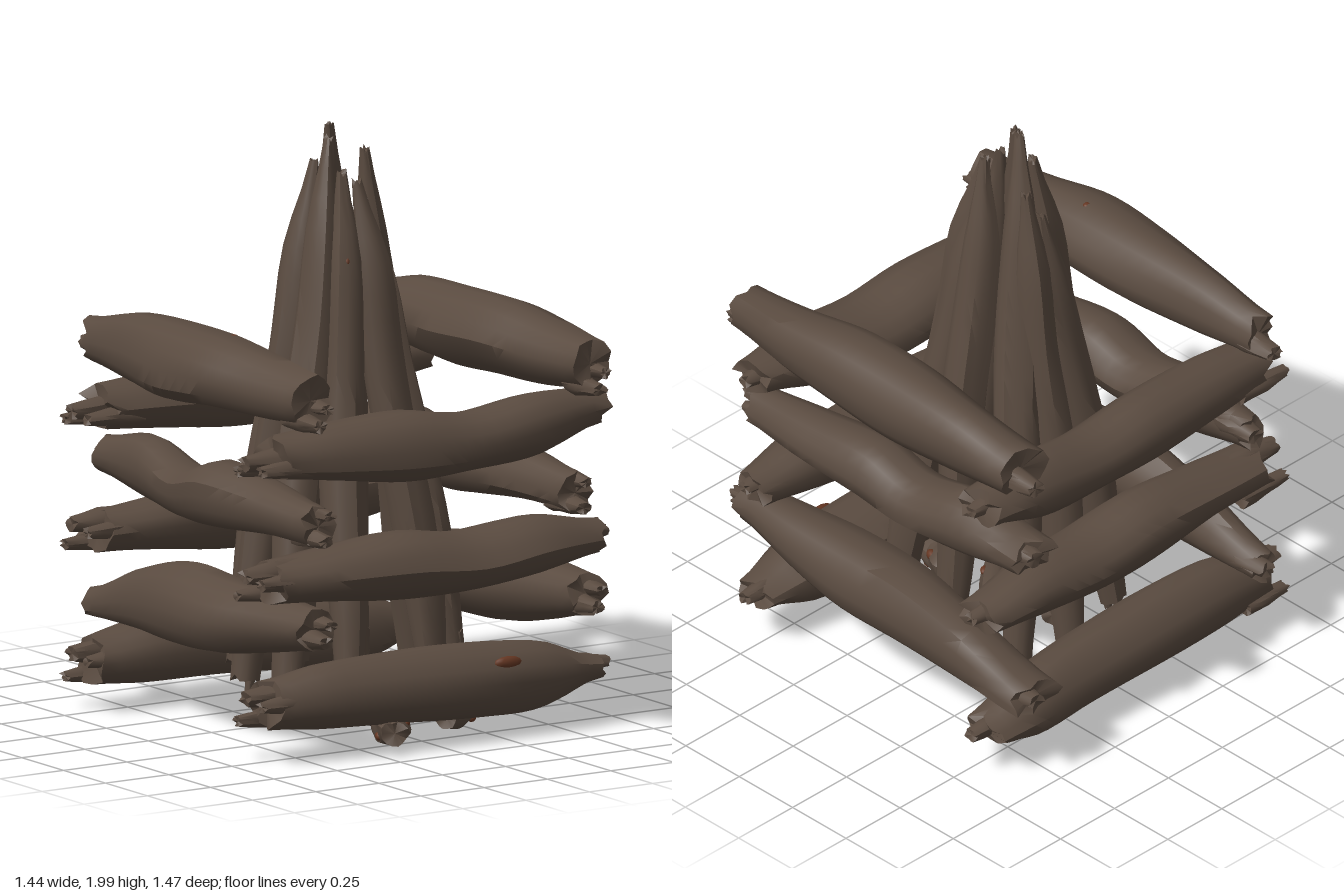
import * as THREE from 'three';
import { toCreasedNormals } from 'three/addons/utils/BufferGeometryUtils.js';

const charred = new THREE.MeshStandardMaterial({ color: 0x5a4b40 });
charred.name = 'charred bark';
const ember = new THREE.MeshStandardMaterial({ color: 0x653723 });
ember.name = 'ember';

const SIDES = 14;

function randomFrom(seed) {
  let s = (seed * 7919 + 17) % 233280;
  return () => (s = (s * 9301 + 49297) % 233280) / 233280;
}

// Lofts rough bark through sections [s, centreA, centreB, radiusA, radiusB].
function barkLoft(sections, place, flip, seed, steps = 18, jag = 0.02, rough = 0.06) {
  const rand = randomFrom(seed);
  const p1 = rand() * 6, p2 = rand() * 6, p3 = rand() * 6;
  const last = sections.length - 1;
  const at = (t, k) => {
    const i = Math.min(last - 1, Math.floor(t * last)), f = t * last - i;
    const v = n => sections[Math.max(0, Math.min(last, n))][k];
    const a = v(i), b = v(i + 1);
    if (k === 0) return a + (b - a) * f;
    const m0 = (b - v(i - 1)) / 2, m1 = (v(i + 2) - a) / 2, f2 = f * f, f3 = f2 * f;
    return (2 * f3 - 3 * f2 + 1) * a + (f3 - 2 * f2 + f) * m0 + (3 * f2 - 2 * f3) * b + (f3 - f2) * m1;
  };
  const pos = [], index = [];
  for (let i = 0; i <= steps; i++) {
    const t = i / steps, end = i === 0 ? -1 : i === steps ? 1 : 0;
    for (let j = 0; j < SIDES; j++) {
      const q = j / SIDES * Math.PI * 2;
      const n = 1 + rough * (Math.sin(3 * q + p1 + 2 * t) * 0.6 + Math.sin(5 * q + p2 - 3 * t) * 0.5
        + Math.sin(9 * t + p3 + 2 * q) * 0.5);
      const s = at(t, 0) + end * jag * (rand() - 0.5) * 2;
      pos.push(...place(s, at(t, 1) + Math.cos(q) * at(t, 3) * n, at(t, 2) + Math.sin(q) * at(t, 4) * n));
    }
  }
  const tri = (a, b, c) => (flip ? index.push(a, c, b) : index.push(a, b, c));
  for (let i = 0; i < steps; i++) for (let j = 0; j < SIDES; j++) {
    const k = (j + 1) % SIDES, a = i * SIDES + j, b = i * SIDES + k;
    tri(a, b, a + SIDES);
    tri(b, b + SIDES, a + SIDES);
  }
  // broken ends
  for (const [ring, t, dir] of [[0, 0, 1], [steps, 1, -1]]) {
    const c = pos.length / 3;
    pos.push(...place(at(t, 0) + dir * jag * 0.3, at(t, 1), at(t, 2)));
    for (let j = 0; j < SIDES; j++) {
      const a = ring * SIDES + j, b = ring * SIDES + (j + 1) % SIDES;
      if (dir > 0) tri(c, b, a); else tri(c, a, b);
    }
  }
  const g = new THREE.BufferGeometry();
  g.setAttribute('position', new THREE.Float32BufferAttribute(pos, 3));
  g.setIndex(index);
  return toCreasedNormals(g, 0.75);
}

const alongX = (s, a, b) => [s, b, a];
const alongZ = (s, a, b) => [a, b, s];
const alongY = (s, a, b) => [b, s, a];

// Stacked log: rows of [s, low y, high y, low side, high side], plus splinters [tip, root, side, y, r].
function stackedLog(name, place, flip, rows, splinters, seed) {
  const log = new THREE.Group();
  log.name = name;
  const sections = rows.map(([s, y0, y1, a0, a1]) => [s, (a0 + a1) / 2, (y0 + y1) / 2, (a1 - a0) / 2, (y1 - y0) / 2]);
  const trunk = new THREE.Mesh(barkLoft(sections, place, flip, seed, 22, 0.025), charred);
  trunk.name = 'trunk';
  log.add(trunk);
  splinters.forEach(([tip, root, a, y, r], i) => {
    const shape = [[tip, a, y, r * 0.75, r * 0.55], [(tip + root) / 2, a, y, r, r * 0.9], [root, a, y, r, r]];
    if (tip > root) shape.reverse();
    const m = new THREE.Mesh(barkLoft(shape, place, flip, seed + 40 + i, 4, 0.01, 0.1), charred);
    m.name = 'splinter';
    log.add(m);
  });
  return log;
}

// Flat glowing patch
function emberPatch(x, y, z, sx, sy, sz) {
  const patch = new THREE.Mesh(new THREE.IcosahedronGeometry(1, 1), ember);
  patch.name = 'emberPatch';
  patch.position.set(x, y, z);
  patch.scale.set(sx, sy, sz);
  return patch;
}

export function createModel() {
  const model = new THREE.Group();
  model.name = 'stackedBonfire';

  // Crosswise logs, heights [x, bottom, top] for each layer
  const crossHeights = [
    [[-0.63, 0.12, 0.28], [-0.42, 0.1, 0.32], [-0.1, 0.09, 0.33], [0.2, 0.08, 0.32], [0.44, 0.08, 0.3], [0.65, 0.15, 0.23]],
    [[-0.61, 0.54, 0.68], [-0.4, 0.53, 0.7], [-0.1, 0.5, 0.73], [0.15, 0.5, 0.7], [0.42, 0.53, 0.72], [0.67, 0.57, 0.68]],
    [[-0.6, 0.95, 1.1], [-0.4, 0.93, 1.12], [-0.1, 0.9, 1.13], [0.15, 0.91, 1.1], [0.42, 0.93, 1.14], [0.67, 1.01, 1.13]],
  ];
  const crossWidths = {
    front: [[0.41, 0.62], [0.39, 0.65], [0.37, 0.67], [0.37, 0.67], [0.4, 0.65], [0.44, 0.6]],
    back: [[-0.62, -0.42], [-0.63, -0.4], [-0.64, -0.39], [-0.64, -0.39], [-0.64, -0.42], [-0.63, -0.45]],
  };
  // splinter heights at the broken ends: upper, lower, far tip
  const crossSplinters = [[0.23, 0.14, 0.2], [0.64, 0.56, 0.64], [1.02, 0.98, 1.07]];
  crossHeights.forEach((heights, layer) => {
    const [upper, lower, far] = crossSplinters[layer];
    for (const side of ['front', 'back']) {
      const drop = side === 'back' && layer === 0 ? -0.025 : 0;
      const rows = heights.map(([x, lo, hi], i) => [x, lo + drop, hi + drop, ...crossWidths[side][i]]);
      const [x, , , z0, z1] = rows[0], tip = rows[5];
      model.add(stackedLog(side + 'Log' + (layer + 1), alongX, true, rows, [
        [-0.71, x + 0.12, (z0 + z1) / 2, upper + drop, 0.045],
        [-0.69, x + 0.12, z0 + 0.03, lower + drop, 0.032],
        [-0.69, x + 0.12, z1 - 0.035, upper + drop - 0.02, 0.034],
        [0.71, 0.56, (tip[3] + tip[4]) / 2, far + drop, 0.035],
      ], layer * 2 + (side === 'front' ? 1 : 2)));
    }
  });

  // Lengthwise logs, heights [z, bottom, top] for each layer
  const longHeights = [
    [[-0.69, 0.28, 0.38], [-0.4, 0.28, 0.49], [-0.12, 0.28, 0.55], [0.15, 0.29, 0.55], [0.4, 0.34, 0.54], [0.64, 0.39, 0.53]],
    [[-0.63, 0.78, 0.9], [-0.36, 0.73, 0.95], [-0.1, 0.71, 0.89], [0.1, 0.72, 0.94], [0.4, 0.74, 0.91], [0.66, 0.74, 0.88]],
    [[-0.64, 1.15, 1.3], [-0.4, 1.12, 1.35], [-0.12, 1.1, 1.37], [0.15, 1.12, 1.37], [0.4, 1.13, 1.34], [0.65, 1.15, 1.32]],
  ];
  const longWidths = {
    left: [[0.46, 0.68], [0.46, 0.69], [0.43, 0.7], [0.43, 0.7], [0.46, 0.68], [0.49, 0.64]],
    right: [[-0.59, -0.46], [-0.61, -0.43], [-0.66, -0.4], [-0.68, -0.39], [-0.64, -0.41], [-0.61, -0.45]],
  };
  // sideways shift and slimming per layer
  const longFit = { left: [[-0.005, 0.96], [-0.06, 0.86], [0.005, 1]], right: [[0.02, 0.88], [0.02, 0.84], [-0.005, 1]] };
  // splinters per layer: lower and upper height at the front, then tip and height at the back
  const longSplinters = [[0.43, 0.48, -0.72, 0.34], [0.77, 0.85, -0.66, 0.85], [1.16, 1.21, -0.73, 1.2]];
  longHeights.forEach((heights, layer) => {
    const [lower, upper, backTip, backY] = longSplinters[layer];
    for (const side of ['left', 'right']) {
      const [shift, slim] = longFit[side][layer];
      const rows = heights.map((h, i) => {
        const [a0, a1] = longWidths[side][i], mid = (a0 + a1) / 2 + shift, half = (a1 - a0) / 2 * slim;
        return [...h, mid - half, mid + half];
      });
      const r = rows[5], b = rows[0];
      model.add(stackedLog(side + 'Log' + (layer + 1), alongZ, false, rows, [
        [0.72, 0.54, (r[3] + r[4]) / 2 - 0.01, lower, 0.036],
        [0.7, 0.54, r[4] - 0.05, upper, 0.03],
        [backTip, -0.5, (b[3] + b[4]) / 2 + 0.02, backY, 0.045],
      ], 11 + layer * 2 + (side === 'left' ? 1 : 2)));
    }
  });

  // Leaning poles: foot x, y, z, then tip x, y, z
  const poles = [
    [-0.21, 0.16, -0.28, 0.02, 1.74, -0.17], [0.05, 0.12, -0.35, 0.06, 1.83, -0.14],
    [0.29, 0.12, -0.33, -0.01, 1.99, -0.04], [0.34, 0.18, -0.06, 0.085, 1.91, 0.03],
    [0.3, 0.2, 0.23, 0.07, 1.74, 0.05], [0.17, 0.16, 0.32, 0, 1.82, 0.11],
    [-0.18, 0.16, 0.33, -0.04, 1.85, 0.08], [-0.34, 0.18, 0.19, -0.05, 1.96, 0.02],
    [-0.33, 0.16, -0.07, -0.06, 1.87, -0.05],
  ];
  const up = new THREE.Vector3(0, 1, 0);
  const taper = [0.048, 0.066, 0.074, 0.075, 0.071, 0.06, 0.016];
  poles.forEach(([x, y, z, tx, ty, tz], i) => {
    const foot = new THREE.Vector3(x, y, z), dir = new THREE.Vector3(tx, ty, tz).sub(foot);
    const len = dir.length();
    const sections = taper.map((r, k) => {
      const bend = k === 6 ? 0 : 0.007;
      return [k / 6 * len, Math.sin(k * 1.7 + i) * bend, Math.cos(k * 1.3 + i) * bend, r, r * 0.95];
    });
    const pole = new THREE.Mesh(barkLoft(sections, alongY, false, 60 + i, 18, 0.015, 0.1), charred);
    pole.name = 'leaningPole' + (i + 1);
    pole.position.copy(foot);
    pole.quaternion.setFromUnitVectors(up, dir.normalize());
    model.add(pole);
    // splinter hanging from the burnt foot
    const shard = new THREE.Mesh(barkLoft([[-0.05, 0, 0, 0.014, 0.012], [0.1, 0, 0, 0.03, 0.025]], alongY, false, 80 + i, 4, 0.01), charred);
    shard.name = 'poleSplinter';
    shard.position.set(0.018, 0, 0.018);
    pole.add(shard);
  });

  // Burnt chunks on the ground: centre, length, radius, heading
  const chunks = [
    [0.23, 0.105, 0.07, 0.28, 0.09, 1.5], [-0.1, 0.065, 0.46, 0.3, 0.06, 1.1], [0.18, 0.07, 0.44, 0.2, 0.05, 0.6],
    [-0.12, 0.1, -0.12, 0.18, 0.055, 0.5], [-0.26, 0.14, 0.29, 0.07, 0.03, 0.2], [0.28, 0.13, 0.22, 0.12, 0.045, 2.2],
    [-0.03, 0.08, 0.31, 0.15, 0.065, 1.2], [-0.03, 0.09, 0.1, 0.28, 0.05, 0.75],
  ];
  chunks.forEach(([x, y, z, len, r, turn], i) => {
    const chunk = new THREE.Group();
    chunk.name = 'burntChunk' + (i + 1);
    chunk.position.set(x, y, z);
    chunk.rotation.y = turn;
    const h = len / 2;
    const body = new THREE.Mesh(barkLoft([[-h, 0, 0, r * 0.75, r * 0.7], [-h * 0.4, 0, 0, r, r * 0.9],
      [h * 0.4, 0, 0, r, r * 0.9], [h, 0, 0, r * 0.7, r * 0.75]], alongX, true, 100 + i, 8, 0.012, 0.12), charred);
    body.name = 'chunk';
    chunk.add(body);
    for (const [s, q] of [[-0.5, 0.5], [0.4, 2.7], [0.1, 4.4], [-0.4, 3.7], [0.5, 5.6]]) {
      chunk.add(emberPatch(s * h, Math.sin(q) * r * 0.75, Math.cos(q) * r * 0.8, r * 0.42, r * 0.27, r * 0.27));
    }
    model.add(chunk);
  });

  // Glowing spots on the logs and a pole
  model.add(
    emberPatch(0.25, 0.265, 0.635, 0.055, 0.022, 0.018),
    emberPatch(-0.51, 1.364, 0.15, 0.014, 0.008, 0.014),
    emberPatch(-0.08, 1.57, 0.165, 0.012, 0.02, 0.02),
  );

  return model;
}
